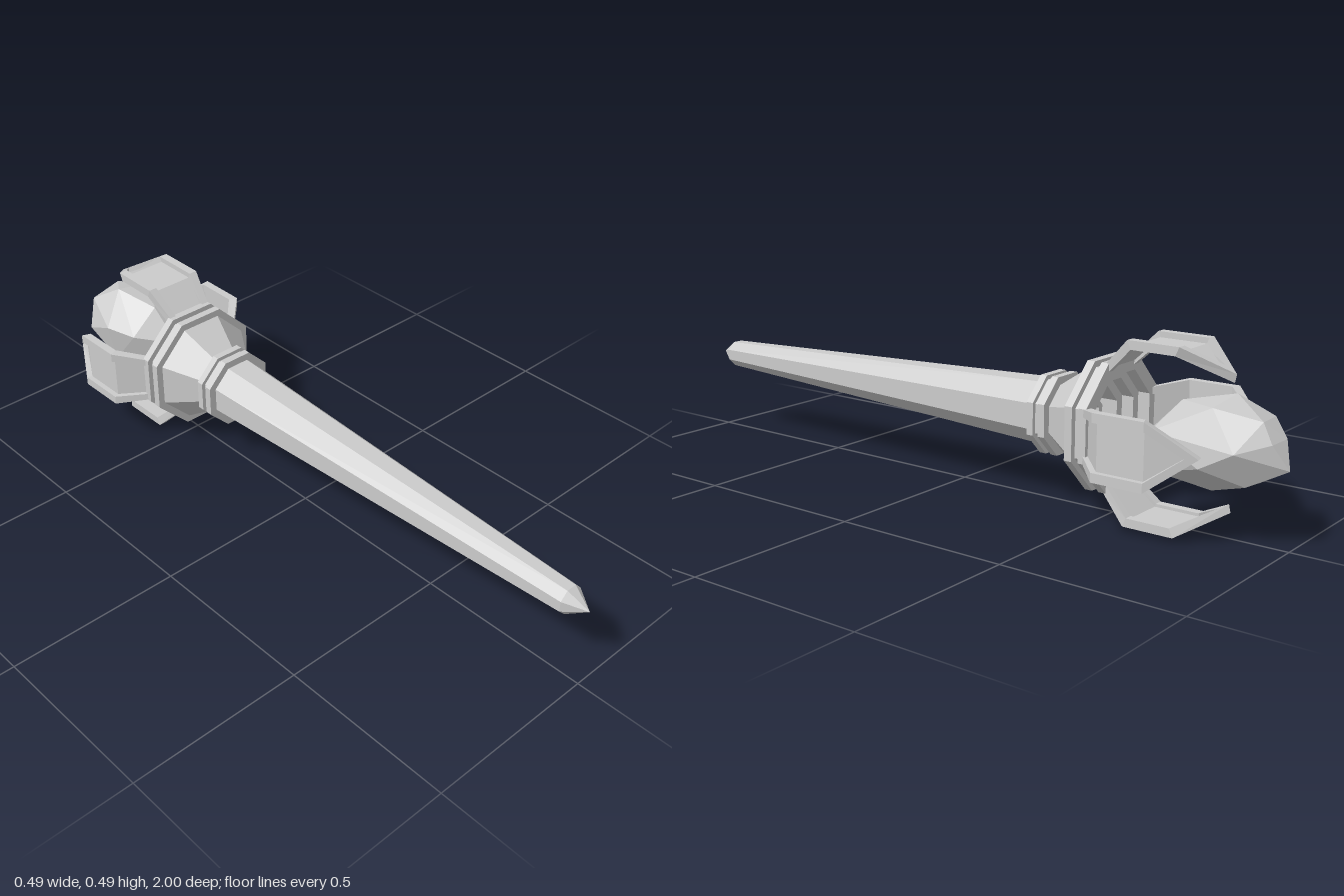
import * as THREE from 'three';
import { ConvexGeometry } from 'three/addons/geometries/ConvexGeometry.js';

const AXIS_Y = 0.243;
const makeMat = (side = THREE.FrontSide) =>
  new THREE.MeshStandardMaterial({ color: 0xcccccc, flatShading: true, side });

function mesh(name, geometry, side) {
  const m = new THREE.Mesh(geometry, makeMat(side));
  m.name = name;
  return m;
}

// Octagonal turned part along z; profile is [flat-to-centre radius, z], rising in z on the outside
function turned(name, profile) {
  const k = 1 / Math.cos(Math.PI / 8);
  const pts = profile.map(([r, z]) => new THREE.Vector2(r * k, z));
  const geo = new THREE.LatheGeometry(pts, 8, Math.PI / 8);
  geo.rotateX(Math.PI / 2);
  return mesh(name, geo);
}

// Triangles from a list of quads (each four points, counter-clockwise)
function fromQuads(quads) {
  const pos = [];
  for (const [a, b, c, d] of quads) pos.push(...a, ...b, ...c, ...a, ...c, ...d);
  const geo = new THREE.BufferGeometry();
  geo.setAttribute('position', new THREE.Float32BufferAttribute(pos, 3));
  geo.computeVertexNormals();
  return geo;
}

// Claw outline from base to tip: outer and inner half width, top z/r, bottom z/r, and inset of the inner edge
const CLAW = [
  { wo: 0.07, wi: 0.05, top: [-0.51, 0.17], low: [-0.515, 0.145], inset: [0, 0] },
  { wo: 0.088, wi: 0.063, top: [-0.582, 0.243], low: [-0.592, 0.219], inset: [0, 0] },
  { wo: 0.088, wi: 0.063, top: [-0.728, 0.243], low: [-0.718, 0.219], inset: [0, 0] },
  { wo: 0, wi: 0, top: [-0.84, 0.176], low: [-0.835, 0.154], inset: [0.03, 0.018] },
];

function claw() {
  const group = new THREE.Group();
  group.name = 'claw';
  const section = (s, side) => {
    const [tz, tr] = s.top, [lz, lr] = s.low, [iz, ir] = s.inset;
    return [
      [side * s.wo, tr, tz], [side * s.wi, tr + ir, tz + iz],
      [side * s.wi, lr + ir, lz + iz], [side * s.wo, lr, lz],
    ];
  };
  // Raised rim runs up one edge, round the point and back down the other
  const loop = [...CLAW.map((s) => section(s, 1)), ...CLAW.slice(0, 3).reverse().map((s) => section(s, -1))];
  const quads = [loop[0], [...loop[loop.length - 1]].reverse()];
  for (let i = 0; i < loop.length - 1; i++) {
    for (let j = 0; j < 4; j++) {
      const n = (j + 1) % 4;
      quads.push([loop[i][j], loop[i + 1][j], loop[i + 1][n], loop[i][n]]);
    }
  }
  group.add(mesh('clawRim', fromQuads(quads)));

  // Thin panel set between the rims
  const edge = CLAW.map((s) => {
    const z = s.top[0] * 0.35 + s.low[0] * 0.65 + s.inset[0];
    const r = s.top[1] * 0.35 + s.low[1] * 0.65 + s.inset[1];
    return [[s.wi, r, z], [-s.wi, r, z]];
  });
  const panel = [];
  for (let i = 0; i < 3; i++) panel.push([edge[i][0], edge[i + 1][0], edge[i + 1][1], edge[i][1]]);
  group.add(mesh('clawPanel', fromQuads(panel), THREE.DoubleSide));
  return group;
}

// Irregular faceted stone
function crystal() {
  const pts = [
    [0.02, -0.035, -1.0], [-0.01, 0.035, -0.975], [0.05, 0.03, -0.965],
    [0.12, 0.01, -0.9], [0.04, 0.08, -0.935], [-0.07, 0.07, -0.915], [-0.1, -0.02, -0.9],
    [-0.04, -0.095, -0.9], [0.07, -0.08, -0.91],
    [0.125, -0.04, -0.81], [0.08, 0.105, -0.82], [-0.03, 0.122, -0.83], [-0.11, 0.03, -0.79],
    [-0.085, -0.09, -0.79], [0.03, -0.118, -0.8],
    [0.115, 0.03, -0.67], [0.01, 0.095, -0.7], [-0.085, 0.03, -0.69], [-0.04, -0.09, -0.67], [0.07, -0.085, -0.66],
    [0.02, 0.0, -0.61],
  ];
  return mesh('crystal', new ConvexGeometry(pts.map((p) => new THREE.Vector3(...p))));
}

export function createModel() {
  const model = new THREE.Group();
  model.name = 'sceptre';
  const body = new THREE.Group();
  body.name = 'body';
  body.position.y = AXIS_Y;
  model.add(body);

  // Tapered handle with a pointed end
  body.add(turned('shaft', [[0, -0.34], [0.086, -0.34], [0.086, -0.3], [0.038, 0.94], [0, 1]]));

  // Double collar with a groove
  body.add(turned('collar', [
    [0.07, -0.348], [0.107, -0.348], [0.107, -0.328], [0.096, -0.328],
    [0.096, -0.312], [0.107, -0.312], [0.107, -0.292], [0.07, -0.292],
  ]));

  // Flared hollow cup with a stepped floor and a double lip
  body.add(turned('cup', [
    [0, -0.4], [0.045, -0.4], [0.045, -0.42], [0.06, -0.42], [0.06, -0.39], [0.085, -0.39],
    [0.085, -0.45], [0.11, -0.45], [0.11, -0.485], [0.135, -0.485], [0.135, -0.52],
    [0.172, -0.52], [0.172, -0.498], [0.156, -0.498], [0.156, -0.478], [0.172, -0.478],
    [0.172, -0.456], [0.152, -0.456], [0.083, -0.345],
  ]));

  // Four claws around the stone
  for (let i = 0; i < 4; i++) {
    const c = claw();
    c.rotation.z = (i * Math.PI) / 2;
    body.add(c);
  }
  body.add(crystal());
  return model;
}
